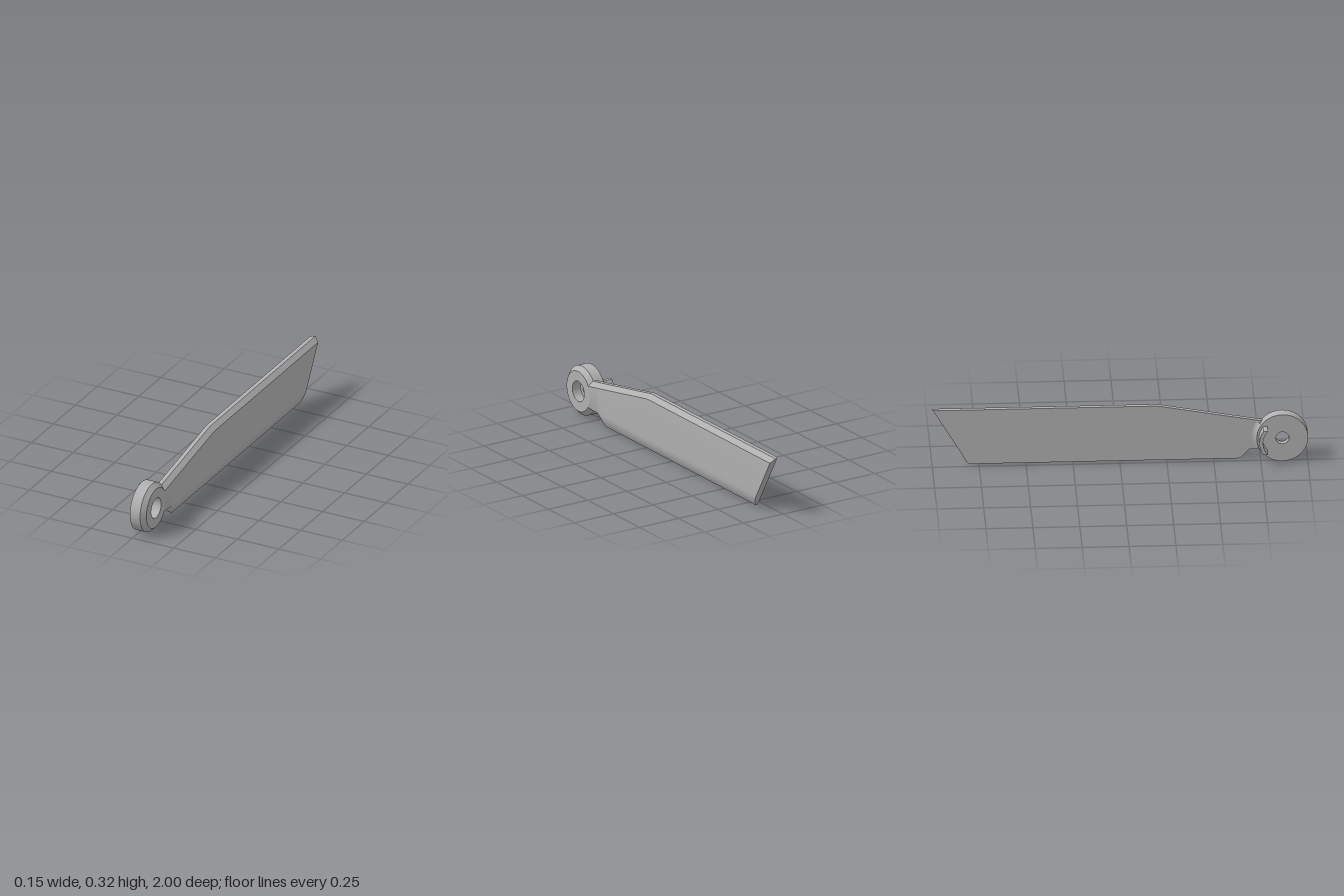
import * as THREE from 'three';
import { toCreasedNormals } from 'three/addons/utils/BufferGeometryUtils.js';

const HUB_Y = 0.137, HUB_Z = 0.865;

// Lathe turned so that its axis runs along x; profile is [radius, x]
function latheX(profile, segments, start = 0, length = Math.PI * 2) {
  const g = new THREE.LatheGeometry(profile.map(([r, x]) => new THREE.Vector2(r, x)), segments, start, length);
  g.rotateZ(-Math.PI / 2);
  g.translate(0, HUB_Y, HUB_Z);
  return toCreasedNormals(g, 0.6);
}

// Blade cross-section: flat back, chamfered top, lower edge curving inwards
function bladeSection({ z, top, bottom, curve, tilt = 0, back = 0.025 }) {
  const pts = [[back, bottom]];
  for (let i = 0; i <= 6; i++) {
    const t = i / 6;
    pts.push([0.073 - 0.024 * (1 - t) ** 2, bottom + curve * t]);
  }
  pts.push([0.073, top - 0.025], [0.0485, top], [back, top]);
  return pts.map(([x, y]) => [x, y, z + tilt * (top - y)]);
}

function loft(sections) {
  const n = sections[0].length, last = (sections.length - 1) * n, index = [];
  for (let s = 0; s < sections.length - 1; s++) {
    for (let i = 0; i < n; i++) {
      const j = (i + 1) % n;
      const a = s * n + i, b = s * n + j, c = a + n, d = b + n;
      index.push(a, c, b, b, c, d);
    }
  }
  for (let i = 1; i < n - 1; i++) {
    index.push(0, i, i + 1, last, last + i + 1, last + i);
  }
  const g = new THREE.BufferGeometry();
  g.setAttribute('position', new THREE.Float32BufferAttribute(sections.flat(2), 3));
  g.setIndex(index);
  return toCreasedNormals(g, 0.5);
}

export function createModel() {
  const group = new THREE.Group();
  const grey = new THREE.MeshStandardMaterial({ color: 0xb0b0b0, side: THREE.DoubleSide });
  grey.name = 'grey';
  const add = (name, geometry) => {
    const mesh = new THREE.Mesh(geometry, grey);
    mesh.name = name;
    group.add(mesh);
  };

  // Round hub with chamfered face and stepped hole
  add('hub', latheX([
    [0.035, -0.013], [0.137, -0.013], [0.137, 0.048], [0.112, 0.073],
    [0.057, 0.073], [0.057, 0.02], [0.035, 0.02], [0.035, -0.013],
  ], 64));

  // Concave fillet between the hub rim and the back of the blade
  const fillet = [[0.13, 0.027], [0.136, -0.003]];
  for (let i = 1; i <= 6; i++) {
    const a = (i / 6) * Math.PI / 2;
    fillet.push([0.164 - 0.028 * Math.cos(a), -0.003 + 0.0285 * Math.sin(a)]);
  }
  add('neckFillet', latheX(fillet, 16, Math.PI - 0.5, 1.06));

  // Curved prong standing out from the back of the hub
  const arc = new THREE.Shape();
  arc.absarc(0, 0, 0.125, -0.594, 0.594, false);
  arc.absarc(0, 0, 0.106, 0.721, -0.721, true);
  arc.closePath();
  const prong = new THREE.ExtrudeGeometry(arc, { depth: 0.07, bevelEnabled: false, curveSegments: 16 });
  prong.rotateY(Math.PI / 2);
  prong.translate(-0.075, HUB_Y, HUB_Z);
  add('prong', toCreasedNormals(prong, 0.6));

  // Blade from the neck to the slanted tip
  const full = { top: 0.323, bottom: 0.003, curve: 0.07 };
  const stations = [
    { z: 0.77, top: 0.22, bottom: 0.055, curve: 0.025 },
    { z: 0.69, top: 0.234, bottom: 0.055, curve: 0.025 },
    { z: 0.64, top: 0.243, bottom: 0.003, curve: 0.07 },
    { ...full, z: 0.2 },
  ];
  // Tip with its back edge rounded over
  for (let i = 0; i <= 5; i++) {
    const a = (i / 5) * Math.PI / 2;
    stations.push({
      ...full, z: -0.975 - 0.025 * Math.sin(a), tilt: 0.588,
      back: 0.025 + 0.02 * (1 - Math.cos(a)),
    });
  }
  add('blade', loft(stations.map(bladeSection)));

  return group;
}
